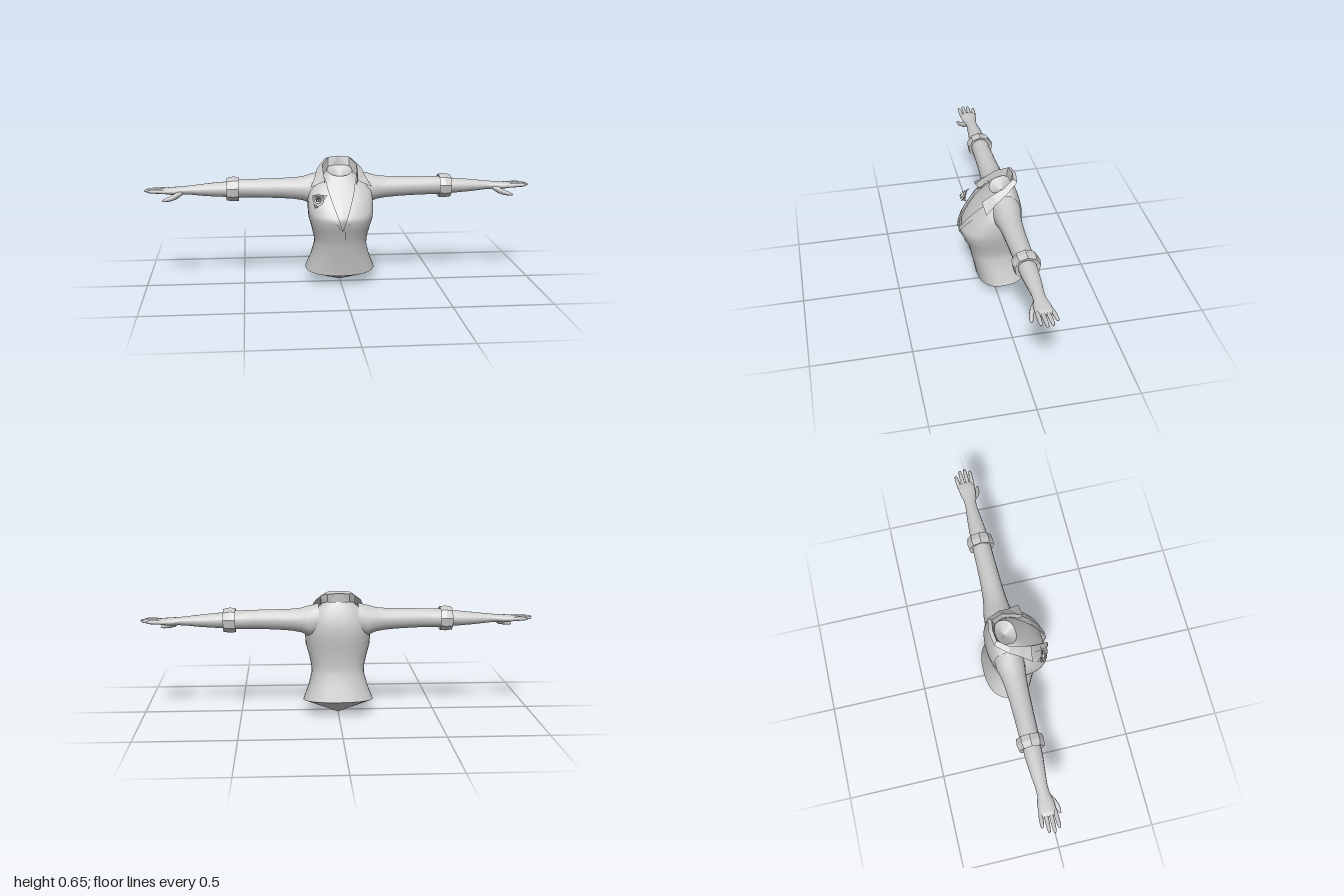
import * as THREE from 'three';

const smooth = new THREE.MeshStandardMaterial({ color: 0xcccccc, side: THREE.DoubleSide });
const faceted = new THREE.MeshStandardMaterial({ color: 0xcccccc, side: THREE.DoubleSide, flatShading: true });

// Skin a list of equally long cross-sections (arrays of [x, y, z])
function loft(rows, closed) {
  const n = rows[0].length, index = [];
  for (let i = 0; i < rows.length - 1; i++) {
    for (let j = 0; j < (closed ? n : n - 1); j++) {
      const a = i * n + j, b = i * n + (j + 1) % n;
      index.push(a, b, a + n, b, b + n, a + n);
    }
  }
  const g = new THREE.BufferGeometry();
  g.setAttribute('position', new THREE.Float32BufferAttribute(rows.flat(2), 3));
  g.setIndex(index);
  g.computeVertexNormals();
  return g;
}

function add(parent, name, geometry, material = smooth) {
  const m = new THREE.Mesh(geometry, material);
  m.name = name;
  parent.add(m);
  return m;
}

// Torso sections: front height, back height, half width, front z, back z
const SECTIONS = [
  [.05, .083, .18, .085, -.17], [.13, .15, .152, .10, -.15], [.21, .21, .135, .118, -.13],
  [.25, .25, .138, .13, -.127], [.30, .30, .15, .15, -.128], [.345, .36, .165, .17, -.137],
  [.37, .41, .168, .165, -.145], [.42, .46, .168, .135, -.148], [.46, .51, .16, .105, -.137],
  [.49, .555, .13, .08, -.122], [.52, .59, .085, .055, -.105]
];
const spow = (v, p) => Math.sign(v) * Math.abs(v) ** p;

// Point on a torso section; t = 0 is the front centre, off pushes outward
function torsoPoint([yF, yB, w, zF, zB], t, off = 0) {
  const k = ((1 + Math.cos(t)) / 2) ** 1.5;
  return [
    (w + off) * spow(Math.sin(t), .85),
    yB + (yF - yB) * k,
    (zF + zB) / 2 + ((zF - zB) / 2 + off) * spow(Math.cos(t), .8)
  ];
}
// Angle at which the jacket opening begins
function openAngle(s) {
  const half = Math.max(0, (s[0] - .31) * .36);
  return Math.asin(Math.min(1, (half / s[2]) ** (1 / .85)));
}
function torsoStrip(sections, from, to, n, off = 0) {
  return sections.map(s => Array.from({ length: n + 1 }, (_, j) => {
    const a = from(s), b = to(s);
    return torsoPoint(s, a + (b - a) * j / n, off);
  }));
}

// Rings across the x axis: [x, centre y, centre z, half height, half depth]
function limb(rows, s, n = 16) {
  return loft(rows.map(([x, y, z, ry, rz]) => Array.from({ length: n }, (_, j) => {
    const a = j / n * Math.PI * 2;
    return [s * x, y + ry * Math.cos(a), z + rz * Math.sin(a)];
  })), true);
}

function makeArm(s) {
  const arm = new THREE.Group();
  arm.name = s > 0 ? 'leftArm' : 'rightArm';
  add(arm, 'sleeve', limb([
    [.10, .488, -.05, .088, .075], [.15, .486, -.05, .078, .072], [.19, .489, -.048, .063, .064],
    [.24, .491, -.047, .056, .058], [.32, .493, -.046, .052, .053], [.42, .494, -.046, .049, .05],
    [.54, .493, -.046, .047, .048]
  ], s));
  // Rolled cuff: a thick octagonal band
  add(arm, 'cuff', limb([
    [.525, .492, -.048, .045, .045], [.52, .492, -.048, .062, .066], [.55, .492, -.048, .064, .069],
    [.582, .491, -.048, .058, .063], [.576, .491, -.048, .04, .042]
  ], s, 9), faceted);
  add(arm, 'forearm', limb([
    [.53, .492, -.047, .042, .045], [.62, .491, -.047, .038, .044], [.70, .490, -.048, .031, .037],
    [.77, .490, -.048, .023, .03], [.81, .489, -.047, .02, .031], [.85, .487, -.047, .02, .041],
    [.89, .488, -.048, .016, .044], [.912, .49, -.048, .010, .042], [.918, .49, -.048, .001, .036]
  ], s));
  // Fingers taper from knuckle to rounded tip: z, tip x, spread
  [[-.084, .965, -.006], [-.060, .993, -.003], [-.036, 1, 0], [-.013, .982, .003]].forEach(([z, tip, d], i) => {
    const at = (f, r) => [.895 + (tip - .895) * f, .489 + .007 * f - .004 * f * f, z + d * f, r, r];
    add(arm, 'finger' + (i + 1), limb([at(0, .0105), at(.45, .0105), at(.8, .009), at(.95, .006), at(1, .0005)], s, 8));
  });
  add(arm, 'thumb', limb([
    [.805, .482, -.03, .012, .012], [.835, .468, -.01, .017, .014], [.862, .457, .004, .013, .012],
    [.888, .451, .010, .010, .010], [.903, .448, .012, .006, .006], [.907, .447, .012, .0005, .0005]
  ], s, 8));
  return arm;
}

// Collar stations from back centre to tip: neck edge, fold, outer edge
const COLLAR = [
  [[0, .585, -.10], [0, .647, -.105], [0, .637, -.125]],
  [[.055, .58, -.085], [.055, .642, -.098], [.072, .63, -.115]],
  [[.085, .56, -.04], [.088, .612, -.04], [.115, .592, -.052]],
  [[.087, .543, .0], [.088, .582, .015], [.13, .557, .0]],
  [[.080, .515, .04], [.084, .546, .068], [.157, .512, .06]]
];

// A bloom of curled petals in three rings
function makeFlower() {
  const flower = new THREE.Group();
  flower.name = 'flower';
  [[3, .010, .022], [5, .020, .017], [7, .031, .008]].forEach(([n, r, z], ring) => {
    for (let i = 0; i < n; i++) {
      const a = i / n * Math.PI * 2 + ring * .5, span = 2.6 / n;
      const petal = [0, .5, 1].map(f => [-1, -.5, 0, .5, 1].map(u => {
        const q = a + u * span * 1.5, rad = r * (.35 + .65 * f ** .7) * (1 - .12 * u * u * f);
        return [rad * Math.cos(q), rad * Math.sin(q), z * f + .006 * f * (1 - u * u)];
      }));
      add(flower, 'petal', loft(petal, false), faceted);
    }
  });
  for (const a of [.5, 2.5, 4.2]) {
    const c = Math.cos(a), s = Math.sin(a);
    const leaf = [[.01, .006, 0], [.03, .013, .004], [.047, .001, -.006]].map(([l, w, z]) =>
      [-1, 0, 1].map(u => [l * c - u * w * s, l * s + u * w * c, z - .004 * (1 - Math.abs(u))]));
    add(flower, 'leaf', loft(leaf, false), faceted);
  }
  flower.position.set(-.117, .457, .115);
  flower.rotation.set(-.25, -.4, 0);
  return flower;
}

export function createModel() {
  const model = new THREE.Group();
  model.name = 'jacketBust';

  add(model, 'jacketBody', loft(torsoStrip(SECTIONS, openAngle, s => 2 * Math.PI - openAngle(s), 40), false));

  // Underside closing to a point
  const hem = torsoStrip(SECTIONS.slice(0, 1), () => 0, () => 2 * Math.PI, 24)[0];
  add(model, 'underside', loft([hem.map(() => [0, 0, -.04]), hem], false), faceted);

  // Chest and neck inside the opening, closed by a shallow hollow
  const chest = torsoStrip(SECTIONS.slice(4), () => 0, () => 2 * Math.PI, 32, -.014);
  const neck = torsoStrip([[.56, .6, .065, .01, -.095]], () => 0, () => 2 * Math.PI, 32)[0];
  add(model, 'chest', loft([...chest, neck], false));
  add(model, 'neckHollow', loft([neck, neck.map(() => [0, .55, -.05])], false));

  // Overlapping front edge below the opening
  add(model, 'placket', loft(torsoStrip(SECTIONS.slice(0, 5), () => -.02, () => .06, 3, .006), false));

  // Lapels along the opening and the two collar halves
  for (const s of [1, -1]) {
    const lapel = torsoStrip(SECTIONS.slice(4), openAngle, q => openAngle(q) + .03 + (q[0] - .3) * 1.4, 4, .006);
    add(model, s > 0 ? 'leftLapel' : 'rightLapel', loft(lapel.map(r => r.map(([x, y, z]) => [s * x, y, z])), false));
    add(model, s > 0 ? 'leftCollar' : 'rightCollar',
      loft(COLLAR.map(r => r.map(([x, y, z]) => [s * x, y, z])), false), faceted);
    model.add(makeArm(s));
  }

  model.add(makeFlower());
  return model;
}
